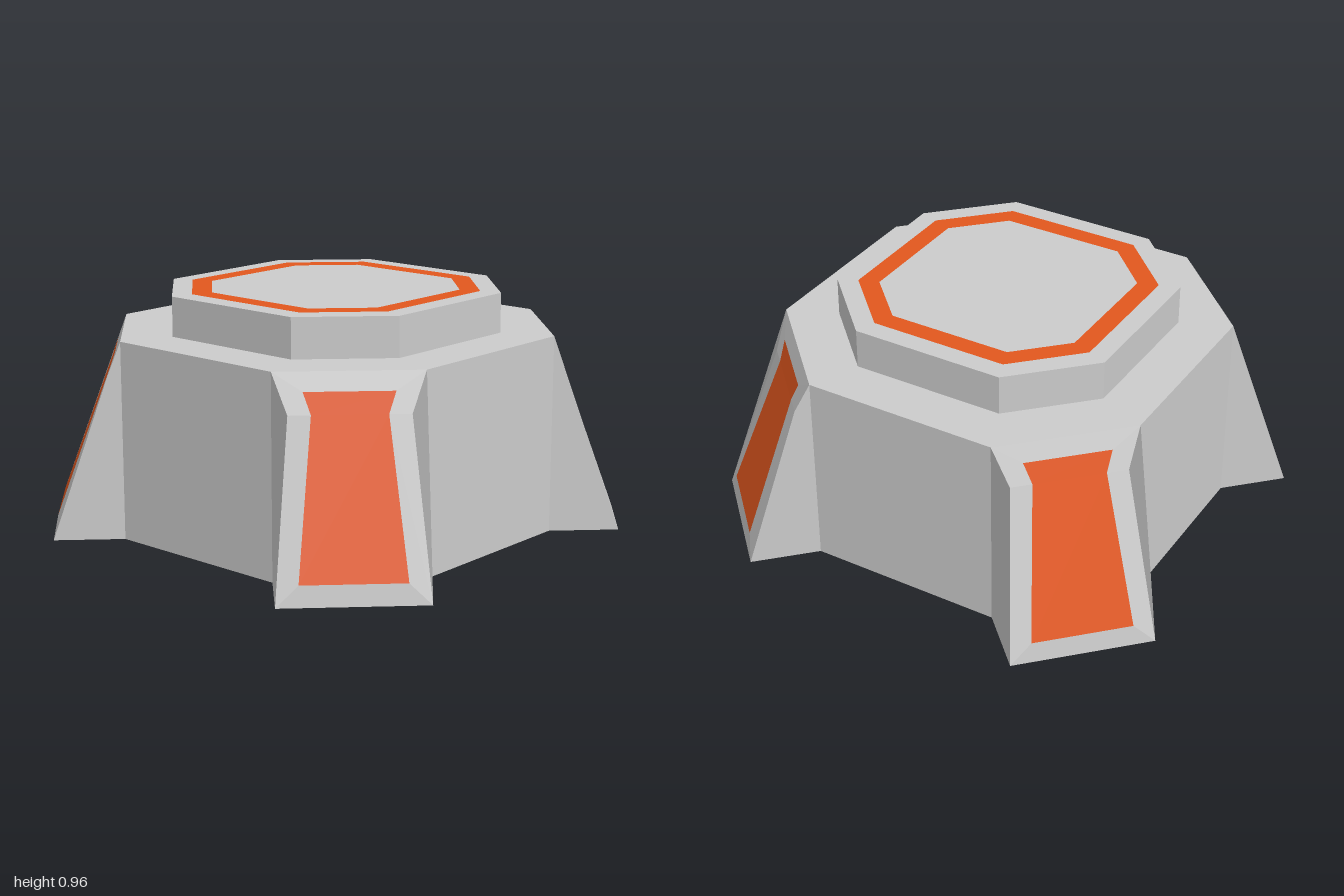
import * as THREE from 'three';

const grey = new THREE.MeshStandardMaterial({ color: 0xcccccc });
const orange = new THREE.MeshStandardMaterial({ color: 0xe2571e });

// Regular-looking octagon outline: half width w, half length of the straight side c
function octagon(w, c, Type = THREE.Shape) {
  const pts = [[c, w], [-c, w], [-w, c], [-w, -c], [-c, -w], [c, -w], [w, -c], [w, c]];
  return new Type(pts.map(([x, y]) => new THREE.Vector2(x, y)));
}

// Upright octagonal block from y0 to y1
function block(name, w, c, y0, y1) {
  const geo = new THREE.ExtrudeGeometry(octagon(w, c), { depth: y1 - y0, bevelEnabled: false });
  geo.rotateX(-Math.PI / 2).translate(0, y0, 0);
  const mesh = new THREE.Mesh(geo, grey);
  mesh.name = name;
  return mesh;
}

// Four-cornered faces, each shaded with the normal of its first triangle
function quadMesh(name, quads, material) {
  const pos = [], nor = [];
  for (const [a, b, c, d] of quads) {
    const n = new THREE.Triangle(a, b, c).getNormal(new THREE.Vector3());
    for (const p of [a, b, c, a, c, d]) {
      pos.push(p.x, p.y, p.z);
      nor.push(n.x, n.y, n.z);
    }
  }
  const geo = new THREE.BufferGeometry();
  geo.setAttribute('position', new THREE.Float32BufferAttribute(pos, 3));
  geo.setAttribute('normal', new THREE.Float32BufferAttribute(nor, 3));
  const mesh = new THREE.Mesh(geo, material);
  mesh.name = name;
  return mesh;
}

// Closed outline: one edge listed upwards, then its mirror across the diagonal x = z
function mirroredOutline(edge) {
  const left = edge.map(p => new THREE.Vector3(...p));
  const right = edge.map(([x, y, z]) => new THREE.Vector3(z, y, x));
  return [left[0], right[0], right[1], right[2], left[2], left[1]];
}

// Corner buttress facing the +x +z diagonal
function buttress() {
  const group = new THREE.Group();
  group.name = 'cornerButtress';
  const o = mirroredOutline([[0.6, 0, 1], [0.48, 0.65, 0.8], [0.4, 0.8, 0.8]]);
  const n = mirroredOutline([[0.65, 0.08, 0.93], [0.54, 0.65, 0.74], [0.5, 0.73, 0.74]]);
  const footL = new THREE.Vector3(0.4, 0, 0.8);
  const footR = new THREE.Vector3(0.8, 0, 0.4);

  // Frame around the coloured panel, then the two sides and the underside
  const quads = o.map((p, i) => {
    const j = (i + 1) % o.length;
    return [p, o[j], n[j], n[i]];
  });
  quads.push([o[4], footL, o[0], o[5]]);
  quads.push([o[1], footR, o[3], o[2]]);
  quads.push([footL, footR, o[1], o[0]]);
  group.add(quadMesh('buttressShell', quads, grey));
  group.add(quadMesh('buttressPanel', [[n[0], n[1], n[2], n[5]], [n[5], n[2], n[3], n[4]]], orange));
  return group;
}

export function createModel() {
  const model = new THREE.Group();
  model.name = 'pedestal';

  // Main body and raised platform
  model.add(block('body', 0.8, 0.4, 0, 0.8));
  model.add(block('platform', 0.6, 0.315, 0.8, 0.96));

  // Coloured ring on the platform
  const ringShape = octagon(0.52, 0.285);
  ringShape.holes.push(octagon(0.44, 0.255, THREE.Path));
  const ringGeo = new THREE.ShapeGeometry(ringShape);
  ringGeo.rotateX(-Math.PI / 2).translate(0, 0.962, 0);
  const ring = new THREE.Mesh(ringGeo, orange);
  ring.name = 'platformRing';
  model.add(ring);

  // One buttress on each corner
  for (let i = 0; i < 4; i++) {
    const leg = buttress();
    leg.rotation.y = i * Math.PI / 2;
    model.add(leg);
  }
  return model;
}
